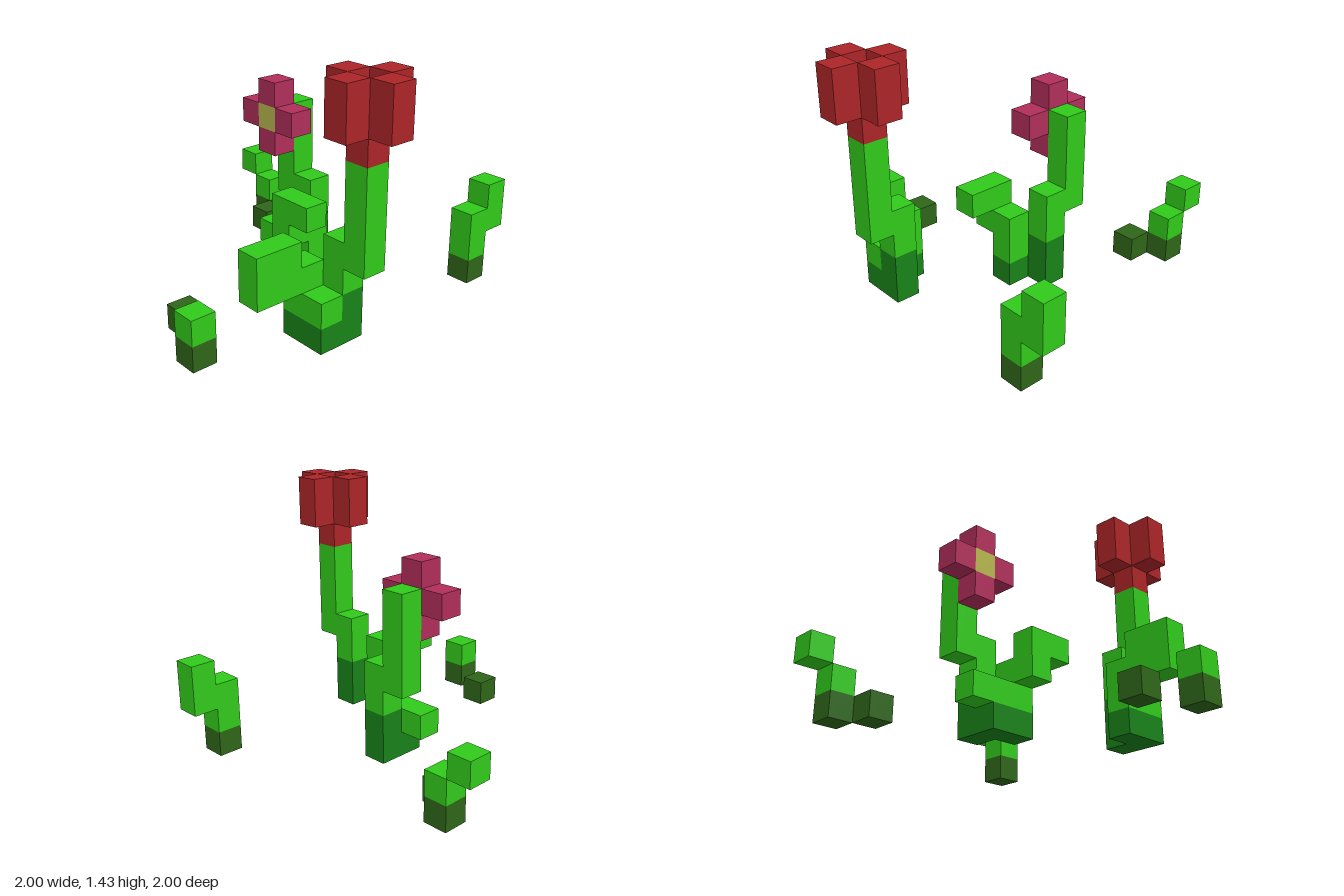
import * as THREE from 'three';

const U = 1 / 7; // edge of one block

function material(name, color) {
  const m = new THREE.MeshStandardMaterial({ color });
  m.name = name;
  return m;
}

export function createModel() {
  const leafGreen = material('leafGreen', 0x31ca1b);
  const baseGreen = material('baseGreen', 0x198219);
  const mossGreen = material('mossGreen', 0x2f6619);
  const pink = material('pink', 0xb02e5a);
  const red = material('red', 0xac2528);
  const yellow = material('yellow', 0xb6b64e);

  const model = new THREE.Group();
  model.name = 'flowerPatch';

  function group(name) {
    const g = new THREE.Group();
    g.name = name;
    model.add(g);
    return g;
  }

  // Box on the block grid: first cell (x, y, z), size in cells
  function block(parent, name, mat, [x, y, z], [w, h, d] = [1, 1, 1]) {
    const mesh = new THREE.Mesh(new THREE.BoxGeometry(w * U, h * U, d * U), mat);
    mesh.position.set((x + w / 2) * U - 1, (y + h / 2) * U, (z + d / 2) * U - 1);
    mesh.name = name;
    parent.add(mesh);
  }

  // Tall red flower
  const tall = group('tallFlower');
  block(tall, 'baseFront', baseGreen, [10, 0, 9], [2, 1, 1]);
  block(tall, 'baseBack', baseGreen, [11, 0, 8], [1, 2, 1]);
  block(tall, 'lowLeaf', leafGreen, [11, 1, 9]);
  block(tall, 'leafStalk', leafGreen, [10, 1, 9], [1, 2, 1]);
  block(tall, 'leaf', leafGreen, [10, 2, 10], [1, 2, 2]);
  block(tall, 'lowerStem', leafGreen, [11, 2, 8], [1, 2, 1]);
  block(tall, 'upperStem', leafGreen, [12, 3, 8], [1, 4, 1]);
  block(tall, 'flowerCup', red, [12, 7, 8]);
  block(tall, 'flowerCentre', yellow, [12, 8, 8]);
  for (const [dx, dz] of [[1, 0], [-1, 0], [0, 1], [0, -1]]) {
    block(tall, 'redPetal', red, [12 + dx, 8, 8 + dz], [1, 2, 1]);
  }

  // Pink flower facing the front
  const small = group('pinkFlower');
  block(small, 'baseFront', baseGreen, [6, 0, 6], [2, 1, 1]);
  block(small, 'baseBack', baseGreen, [6, 0, 5], [1, 2, 1]);
  block(small, 'lowLeaf', leafGreen, [5, 1, 6], [2, 1, 1]);
  block(small, 'leafStalk', leafGreen, [7, 1, 6], [1, 2, 1]);
  block(small, 'leaf', leafGreen, [7, 2, 7], [1, 2, 1]);
  block(small, 'leafTip', leafGreen, [8, 3, 7]);
  block(small, 'lowerStem', leafGreen, [6, 2, 5], [1, 2, 1]);
  block(small, 'upperStem', leafGreen, [5, 3, 5], [1, 4, 1]);
  block(small, 'flowerCentre', yellow, [5, 6, 6]);
  for (const [dx, dy] of [[1, 0], [-1, 0], [0, 1], [0, -1]]) {
    block(small, 'pinkPetal', pink, [5 + dx, 6 + dy, 6]);
  }

  // Grass sprouts around the flowers
  const rightSprout = group('rightSprout');
  block(rightSprout, 'root', mossGreen, [1, 0, 3]);
  block(rightSprout, 'blade', leafGreen, [1, 1, 3]);
  block(rightSprout, 'tip', leafGreen, [0, 2, 3]);
  block(rightSprout, 'tuft', mossGreen, [2, 0, 4]);

  const backSprout = group('backSprout');
  block(backSprout, 'root', mossGreen, [11, 0, 1]);
  block(backSprout, 'blade', leafGreen, [11, 1, 1], [1, 2, 1]);
  block(backSprout, 'tip', leafGreen, [11, 2, 0], [1, 2, 1]);

  const frontSprout = group('frontSprout');
  block(frontSprout, 'root', mossGreen, [9, 0, 13]);
  block(frontSprout, 'blade', leafGreen, [9, 1, 13]);
  block(frontSprout, 'tuft', mossGreen, [7, 0, 12]);

  return model;
}
